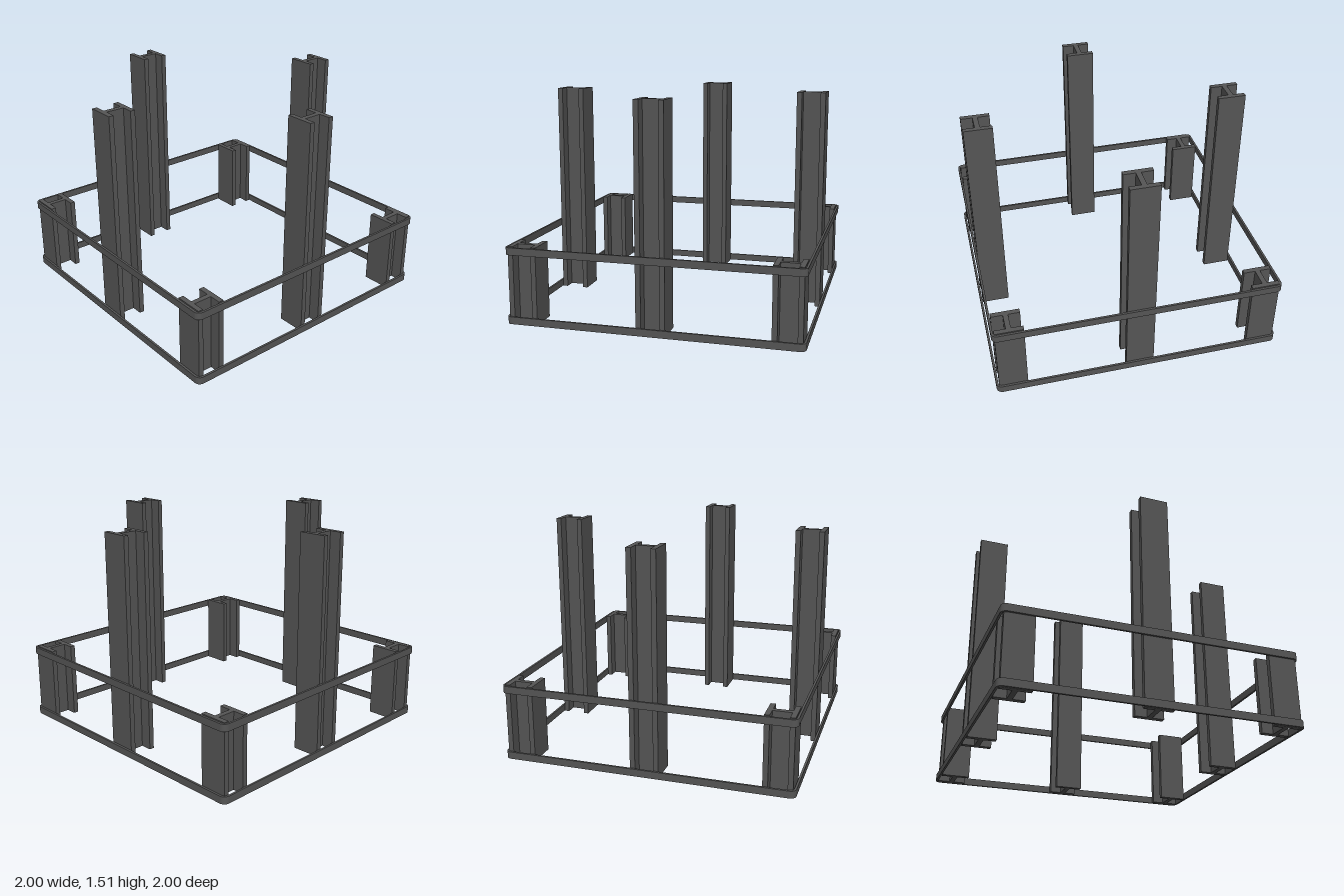
import * as THREE from 'three';

const steel = new THREE.MeshStandardMaterial({ color: 0x555555, flatShading: true });

// Traces a centred rounded square onto a shape or path
function roundedSquare(path, half, radius) {
  const c = half - radius;
  path.moveTo(c, -half);
  path.absarc(c, -c, radius, -Math.PI / 2, 0);
  path.absarc(c, c, radius, 0, Math.PI / 2);
  path.absarc(-c, c, radius, Math.PI / 2, Math.PI);
  path.absarc(-c, -c, radius, Math.PI, Math.PI * 1.5);
  path.closePath();
  return path;
}

// Extrudes a plan outline upward from y = 0
function extrudeUp(shape, height) {
  const geometry = new THREE.ExtrudeGeometry(shape, { depth: height, bevelEnabled: false, curveSegments: 6 });
  return geometry.rotateX(-Math.PI / 2);
}

// H-section: two flanges along z joined by a central web along x
function hSection(size, flange, web) {
  const o = size / 2, i = o - flange, w = web / 2;
  return new THREE.Shape([
    [-o, -o], [-i, -o], [-i, -w], [i, -w], [i, -o], [o, -o],
    [o, o], [i, o], [i, w], [-i, w], [-i, o], [-o, o],
  ].map(([x, y]) => new THREE.Vector2(x, y)));
}

export function createModel() {
  const group = new THREE.Group();
  const add = (name, geometry, x, y, z) => {
    const mesh = new THREE.Mesh(geometry, steel);
    mesh.name = name;
    mesh.position.set(x, y, z);
    group.add(mesh);
  };

  // Two thin square bands around the posts
  const ring = roundedSquare(new THREE.Shape(), 1, 0.04);
  ring.holes.push(roundedSquare(new THREE.Path(), 0.985, 0.025));
  const band = extrudeUp(ring, 0.05);
  add('lowerBand', band, 0, 0, 0);
  add('upperBand', band, 0, 0.475, 0);

  // Short posts at the corners, tall posts at the middle of each side
  const section = hSection(0.196, 0.035, 0.035);
  const shortPost = extrudeUp(section, 0.53);
  const tallPost = extrudeUp(section, 1.513);
  const offset = 0.883;
  for (const x of [-1, 0, 1]) {
    for (const z of [-1, 0, 1]) {
      if (x === 0 && z === 0) continue;
      const corner = x !== 0 && z !== 0;
      add(corner ? 'cornerPost' : 'sidePost', corner ? shortPost : tallPost, x * offset, 0, z * offset);
    }
  }
  return group;
}
